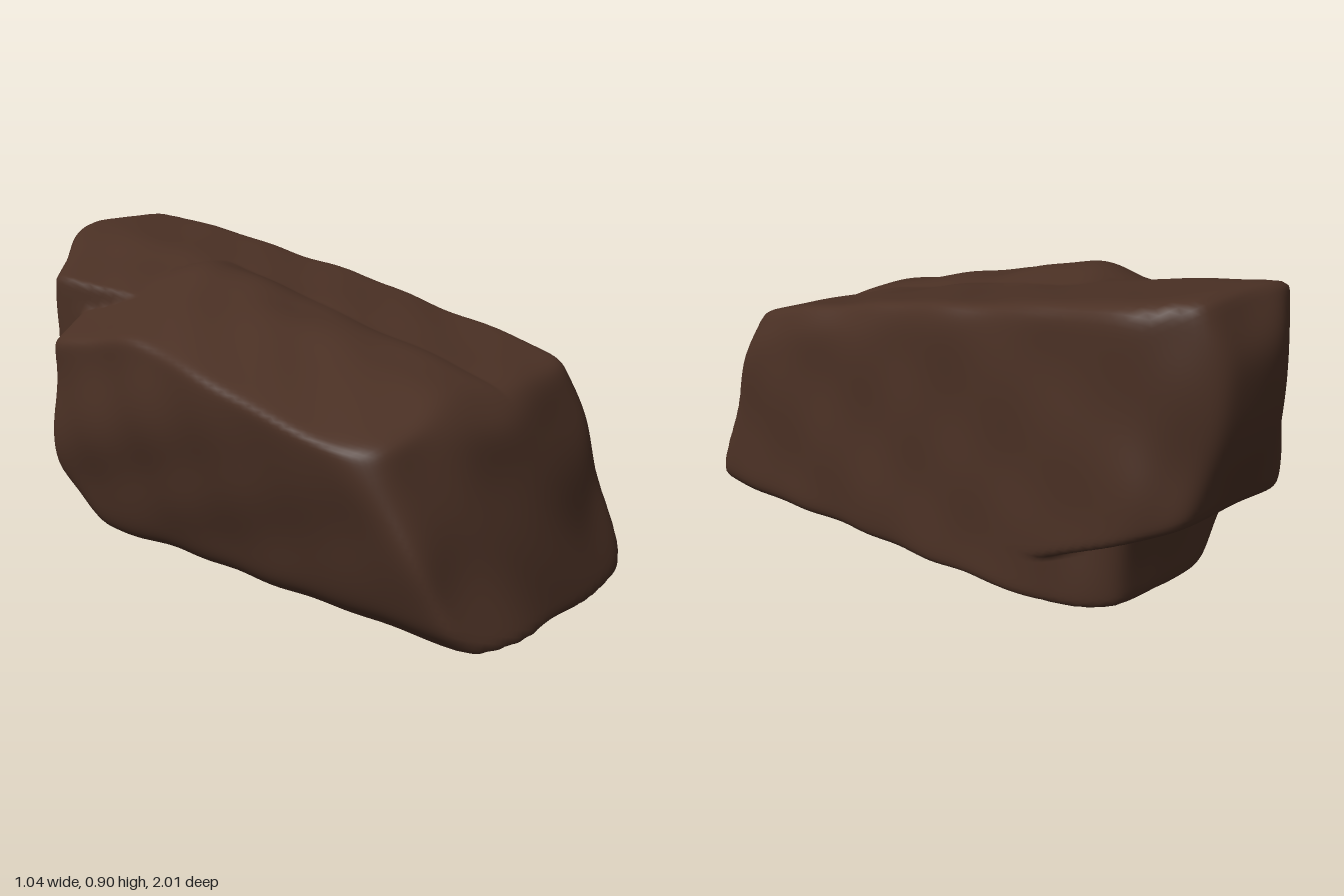
import * as THREE from 'three';
import { mergeVertices } from 'three/addons/utils/BufferGeometryUtils.js';

const center = new THREE.Vector3(0.04, 0.4, 0);

// A cut is a plane: outward normal, then a point on it
function cut(nx, ny, nz, px, py, pz) {
  const normal = new THREE.Vector3(nx, ny, nz).normalize();
  return { normal, dist: normal.dot(new THREE.Vector3(px, py, pz).sub(center)) };
}

// Cuts shared by both lobes: sides, sloping front, base and worn edges
const common = [
  cut(1, 0.04, 0, 0.508, 0.4, 0),
  cut(0.85, 0.5, 0.12, 0.46, 0.77, 0),
  cut(0.7, 0.3, 0.6, 0.49, 0.5, 0.745),
  cut(0.6, -0.8, 0, 0.5, 0.025, 0),
  cut(0.88, 0, -0.48, 0.46, 0.5, -0.86),
  cut(-0.95, -0.29, 0, -0.452, 0.28, 0),
  cut(-0.83, 0.2, 0.56, -0.45, 0.55, 0.77),
  cut(-0.6, -0.8, 0, -0.36, 0.04, 0),
  cut(0.17, 0.32, 1, -0.05, 0.09, 0.995),
  cut(-0.18, 0.34, 1, -0.15, 0.09, 0.99),
  cut(0, 0.77, 0.63, 0, 0.555, 0.8),
  cut(0, -1, -0.03, 0, 0.002, 0.9),
];

// Main block with the foot, ending short at the back
const block = [
  ...common,
  cut(0, 1, 0.235, 0, 0.778, 0),
  cut(-0.4, 1, -0.2, -0.41, 0.705, -0.1),
  cut(-0.3, 1, 0.2, -0.41, 0.705, -0.1),
  cut(0.35, 1, 0.235, 0.02, 0.84, -0.25),
  cut(0, 1, -0.3, 0, 0.845, -0.25),
  cut(-0.4, 0, -0.92, -0.34, 0.3, -0.53),
  cut(-0.5, -0.7, -0.6, -0.17, 0.08, -0.55),
  cut(0.83, 0, -0.56, 0.5, 0.1, -0.53),
  cut(0, -0.05, -1, 0.2, 0.15, -0.695),
  cut(-1, 0, -0.07, -0.48, 0.6, -0.05),
];

// Narrower lobe that overhangs the foot at the back
const overhang = [
  ...common,
  cut(-0.04, 1, 0.235, 0.3, 0.77, 0),
  cut(0, 1, 0.17, 0.15, 0.9, -0.87),
  cut(-0.27, 1, 0.15, 0.13, 0.905, -0.85),
  cut(0.5, 0.85, 0.1, 0.46, 0.87, -0.75),
  cut(-1, 0, 0.15, -0.265, 0.6, -0.6),
  cut(-0.61, 0, -0.79, -0.08, 0.6, -0.825),
  cut(0, -1, -0.42, 0.2, 0.25, -0.7),
  cut(0, -0.48, -0.88, 0.2, 0.4, -0.95),
  cut(0, -0.15, -1, 0.2, 0.72, -1),
  cut(0, 0.55, -0.83, 0.2, 0.83, -0.97),
];

// Distance to the softened surface of a convex lobe along a direction
function reach(cuts, dir) {
  const p = 45;
  let sum = 0;
  for (const { normal, dist } of cuts) {
    const s = normal.dot(dir) / dist;
    if (s > 0) sum += s ** p;
  }
  return sum ** (-1 / p);
}

// Gentle weathering
function weather({ x, y, z }) {
  return 0.004 * Math.sin(9 * x + 5 * z + 2 * Math.sin(7 * y))
    + 0.004 * Math.sin(17 * y - 8 * z + 3 * Math.sin(6 * x))
    + 0.003 * Math.sin(23 * z + 19 * x + 11 * y);
}

export function createModel() {
  const stone = new THREE.MeshStandardMaterial({ color: 0x4a3024 });
  stone.name = 'brown stone';

  // Boulder: a sphere pushed out to the union of the two lobes
  let geometry = new THREE.IcosahedronGeometry(1, 56);
  geometry.deleteAttribute('uv');
  geometry.deleteAttribute('normal');
  geometry = mergeVertices(geometry, 1e-5);
  const pos = geometry.attributes.position;
  const proportions = new THREE.Vector3(0.52, 0.42, 1);
  const dir = new THREE.Vector3();
  const point = new THREE.Vector3();
  for (let i = 0; i < pos.count; i++) {
    dir.fromBufferAttribute(pos, i).multiply(proportions).normalize();
    const r = Math.max(reach(block, dir), reach(overhang, dir));
    point.copy(center).addScaledVector(dir, r);
    point.addScaledVector(dir, weather(point));
    pos.setXYZ(i, point.x, point.y, point.z);
  }
  geometry.computeVertexNormals();

  const boulder = new THREE.Mesh(geometry, stone);
  boulder.name = 'boulder';
  const group = new THREE.Group();
  group.name = 'rock';
  group.add(boulder);
  return group;
}
